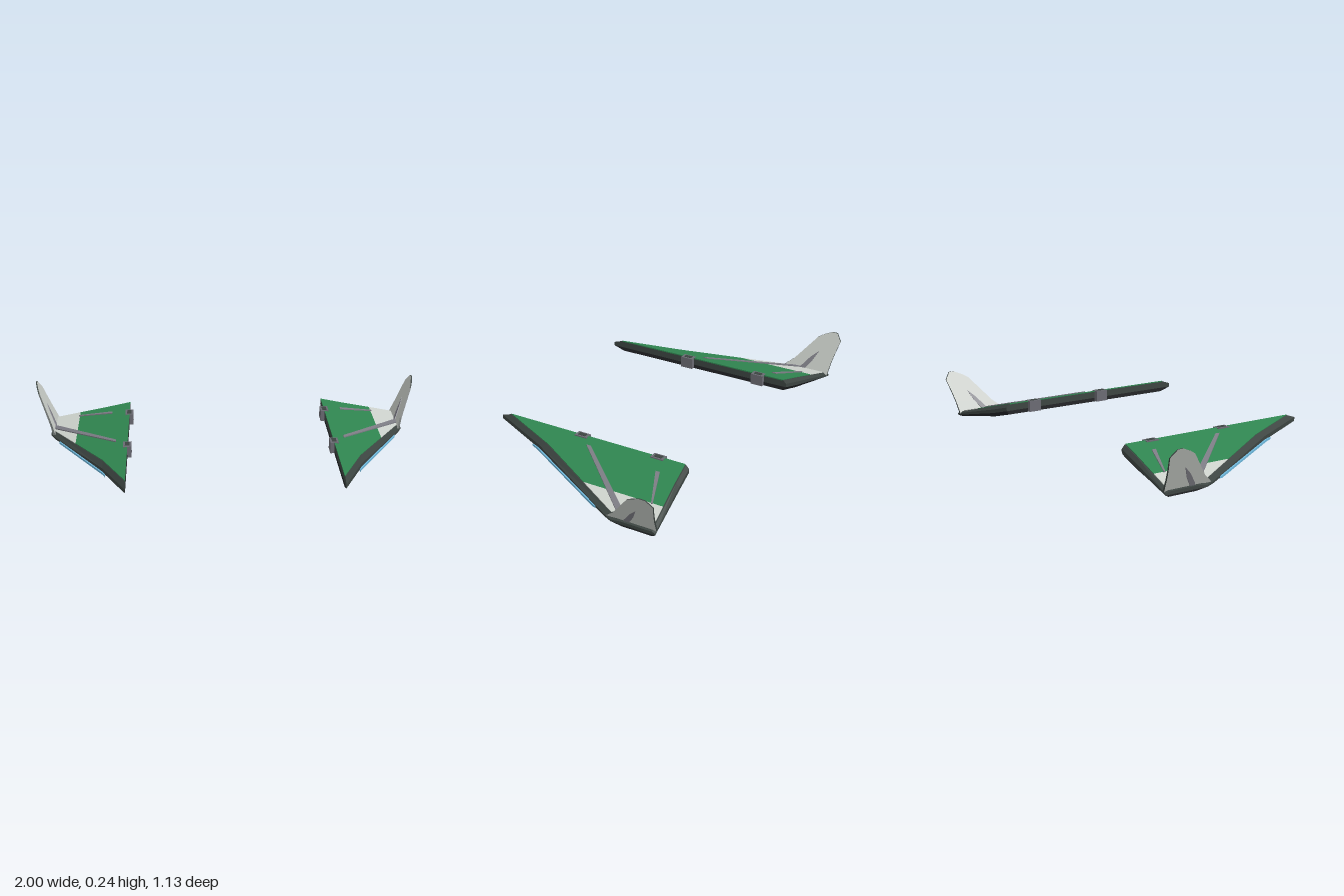
import * as THREE from 'three';

const mat = (color, roughness = 0.7) =>
  new THREE.MeshStandardMaterial({ color, roughness, flatShading: true, side: THREE.DoubleSide });
const MATS = {
  rim: mat(0x3c4441), hull: mat(0x222426), green: mat(0x2f8550), pale: mat(0xcdd2cc),
  fin: mat(0xc2c6c1), strut: mat(0x7c7c84), bracket: mat(0x6a6a72), glow: mat(0x6fb8dc),
};

// Linear interpolation through [x, value] stations
function at(table, x) {
  for (let i = 0; i < table.length - 1; i++) {
    const [x0, v0] = table[i], [x1, v1] = table[i + 1];
    if (x <= x1 || i === table.length - 2) return v0 + (v1 - v0) * (x - x0) / (x1 - x0);
  }
}
// Wing planform and heights along the span
const front = x => at([[0.505, 0.565], [0.62, 0.27], [0.89, -0.26], [0.912, -0.31]], x);
const back = x => at([[0.505, -0.47], [0.62, -0.485], [0.89, -0.53], [0.912, -0.535]], x);
const top = x => at([[0.505, 0.14], [0.912, 0.034]], x);
const bottom = x => at([[0.505, 0.085], [0.62, 0.056], [0.89, 0.012], [0.912, 0.012]], x);
const height = (x, f) => bottom(x) + (top(x) - bottom(x)) * f;

// Skin convex [z, y] loops (front, top, back, bottom) at increasing x, capped at both ends
function loft(xs, section) {
  const rings = xs.map(x => section(x).map(([z, y]) => [x, y, z]));
  const n = rings[0].length, p = [];
  const tri = (a, b, c) => p.push(...a, ...b, ...c);
  for (let i = 0; i < rings.length - 1; i++) {
    for (let j = 0; j < n; j++) {
      const k = (j + 1) % n, r = rings[i], s = rings[i + 1];
      tri(r[j], s[j], s[k]);
      tri(r[j], s[k], r[k]);
    }
  }
  const first = rings[0], last = rings[rings.length - 1];
  for (let j = 1; j < n - 1; j++) {
    tri(first[0], first[j], first[j + 1]);
    tri(last[0], last[j + 1], last[j]);
  }
  const g = new THREE.BufferGeometry();
  g.setAttribute('position', new THREE.Float32BufferAttribute(p, 3));
  return g;
}

// Rectangular section centred on z
const bar = (z, hz, y0, y1) => [[z + hz, y1], [z - hz, y1], [z - hz, y0], [z + hz, y0]];

// Tapered bar lying on the wing's upper surface
function surfaceBar([x0, z0, w0], [x1, z1, w1]) {
  return loft([x0, (x0 + x1) / 2, x1], x => {
    const t = (x - x0) / (x1 - x0);
    return bar(z0 + (z1 - z0) * t, w0 + (w1 - w0) * t, top(x) - 0.004, top(x) + 0.008);
  });
}

// Upright plate from a [z, y] outline, leaning outwards and thinning upwards
function leaningPlate(outline, depth) {
  const shape = new THREE.Shape(outline.map(([z, y]) => new THREE.Vector2(-z, y)));
  const g = new THREE.ExtrudeGeometry(shape, { depth, bevelEnabled: false });
  g.translate(0, 0, -depth / 2).rotateY(Math.PI / 2);
  const p = g.attributes.position;
  for (let i = 0; i < p.count; i++) {
    const y = p.getY(i);
    p.setX(i, 0.892 + (y - 0.03) * 0.5 + p.getX(i) * (1 - 2 * y));
  }
  return g;
}

// Mirror across x = 0, keeping faces outward
function mirrored(g) {
  const m = g.clone().scale(-1, 1, 1), a = m.attributes.position.array;
  for (let i = 0; i < a.length; i += 9) {
    for (let k = 0; k < 3; k++) [a[i + 3 + k], a[i + 6 + k]] = [a[i + 6 + k], a[i + 3 + k]];
  }
  return m;
}

function wingParts() {
  const parts = [];
  const add = (name, geometry, material) => {
    const g = geometry.index ? geometry.toNonIndexed() : geometry;
    parts.push({ name, g, material });
  };
  const span = [0.505, 0.62, 0.89, 0.912];

  // Wing body: bevelled rim above, dark hull below
  add('wingRim', loft(span, x => [
    [front(x), height(x, 0.35)], [front(x), height(x, 0.7)], [front(x) - 0.05, top(x)],
    [back(x) + 0.015, top(x)], [back(x), height(x, 0.7)], [back(x), height(x, 0.35)],
  ]), MATS.rim);
  add('wingHull', loft(span, x => [
    [front(x), height(x, 0.35)], [back(x), height(x, 0.35)],
    [back(x) + 0.015, bottom(x)], [front(x) - 0.06, bottom(x)],
  ]), MATS.hull);

  // Coloured panels on the upper surface
  const panel = x => [
    [front(x) - 0.055, top(x) + 0.003], [back(x) + 0.02, top(x) + 0.003],
    [back(x) + 0.02, top(x) - 0.003], [front(x) - 0.055, top(x) - 0.003],
  ];
  add('innerPanel', loft([0.504, 0.62, 0.77], panel), MATS.green);
  add('outerPanel', loft([0.77, 0.89, 0.9], panel), MATS.pale);

  // Light strip along the leading edge
  add('edgeStrip', loft([0.606, 0.62, 0.86], x => {
    const y = 0.075 + (x - 0.606) / 0.254 * -0.045;
    return bar(front(x), 0.014, y - 0.005, y + 0.005);
  }), MATS.glow);

  // Surface struts
  add('longStrut', surfaceBar([0.562, 0.03, 0.012], [0.895, -0.365, 0.022]), MATS.strut);
  add('shortStrut', surfaceBar([0.595, -0.36, 0.011], [0.775, -0.437, 0.004]), MATS.strut);

  // Upright tip fin and its brace
  add('tipFin', leaningPlate([
    [-0.28, 0.034], [-0.33, 0.075], [-0.435, 0.2], [-0.465, 0.218], [-0.51, 0.237], [-0.538, 0.236],
    [-0.565, 0.2], [-0.55, 0.14], [-0.54, 0.09], [-0.533, 0.03],
  ], 0.012), [MATS.fin, MATS.rim]);
  add('finBrace', leaningPlate([
    [-0.366, 0], [-0.376, 0.045], [-0.42, 0.1], [-0.462, 0.138], [-0.435, 0.085], [-0.402, 0.04],
  ], 0.02), MATS.strut);

  // Root brackets: block with a raised collar
  for (const z of [0.1, -0.312]) {
    add('rootBracket', new THREE.BoxGeometry(0.04, 0.056, 0.066).translate(0.505, 0.115, z), MATS.bracket);
    add('bracketCollar', new THREE.BoxGeometry(0.022, 0.06, 0.04).translate(0.505, 0.115, z), MATS.rim);
  }
  return parts;
}

export function createModel() {
  const model = new THREE.Group();
  model.name = 'wingPair';
  const parts = wingParts();
  for (const side of ['left', 'right']) {
    const wing = new THREE.Group();
    wing.name = side + 'Wing';
    for (const { name, g, material } of parts) {
      const geometry = side === 'left' ? g : mirrored(g);
      geometry.computeVertexNormals();
      const mesh = new THREE.Mesh(geometry, material);
      mesh.name = name;
      wing.add(mesh);
    }
    model.add(wing);
  }
  return model;
}
